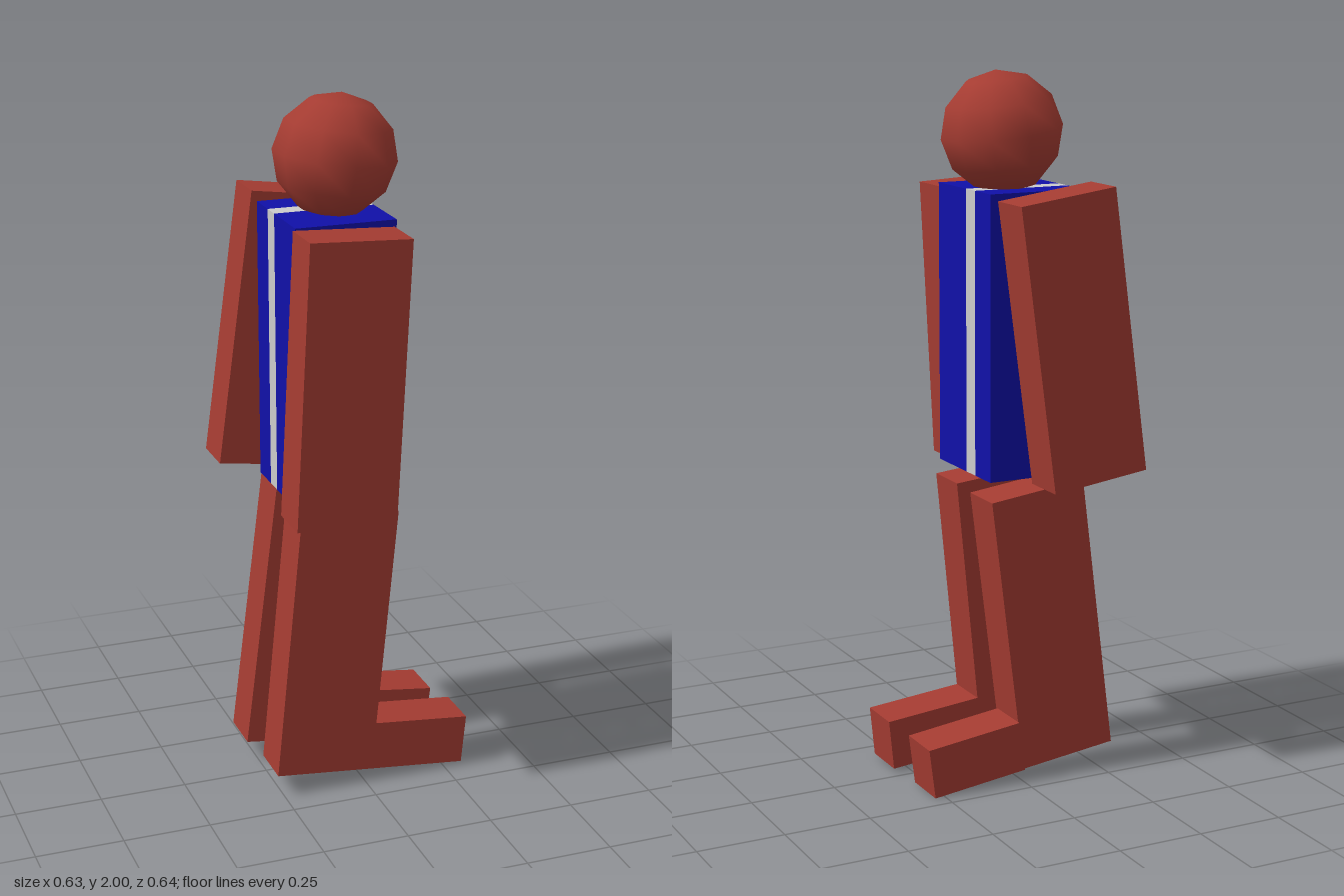
import * as THREE from 'three';

export function createModel() {
  const model = new THREE.Group();
  const skin = new THREE.MeshStandardMaterial({ color: 0xa53c32 });
  const blue = new THREE.MeshStandardMaterial({ color: 0x1010a8 });
  const grey = new THREE.MeshStandardMaterial({ color: 0xcccccc });

  const box = (name, parent, material, size, position) => {
    const mesh = new THREE.Mesh(new THREE.BoxGeometry(...size), material);
    mesh.name = name;
    mesh.position.set(...position);
    parent.add(mesh);
    return mesh;
  };

  // The figure faces +x, so its own left side is -z
  const depth = 0.288, length = 0.8, width = 0.137;

  // Limb group, hung from its upper back corner and swung backwards
  const limb = (name, x, y, z, degrees) => {
    const group = new THREE.Group();
    group.name = name;
    group.position.set(x, y, z);
    group.rotation.z = -THREE.MathUtils.degToRad(degrees);
    box(name + 'Block', group, skin, [depth, length, width], [depth / 2, -length / 2, 0]);
    model.add(group);
    return group;
  };

  // Torso: two blue panels with a flush grey stripe between them
  const torso = new THREE.Group();
  torso.name = 'torso';
  torso.position.set(-0.06, 1.28, 0);
  model.add(torso);
  const panel = (name, material, z0, z1) =>
    box(name, torso, material, [depth, length, z1 - z0], [0, 0, (z0 + z1) / 2]);
  panel('leftJacketPanel', blue, -0.157, -0.063);
  panel('shirtStripe', grey, -0.063, -0.008);
  panel('rightJacketPanel', blue, -0.008, 0.165);

  // Arms
  limb('rightArm', -0.217, 1.68, 0.252, 2.9);
  limb('leftArm', -0.209, 1.703, -0.256, 7.7);

  // Legs, each with a foot level with its sole
  const footLength = 0.284, footHeight = 0.145;
  const addFoot = (leg, name, dz) =>
    box(name, leg, skin, [footLength, footHeight, width],
      [depth + footLength / 2, -length + footHeight / 2, dz]);
  addFoot(limb('rightLeg', -0.19, 0.866, 0.097, 5.6), 'rightFoot', 0);
  addFoot(limb('leftLeg', -0.188, 0.868, -0.127, 7.2), 'leftFoot', -0.008);

  // Head: a coarse smooth-shaded ball, nodding slightly forward
  const head = new THREE.Mesh(new THREE.SphereGeometry(0.172, 10, 6).rotateY(Math.PI / 2), skin);
  head.name = 'head';
  head.position.set(-0.033, 1.83, 0.003);
  head.rotation.z = -0.12;
  model.add(head);

  return model;
}
